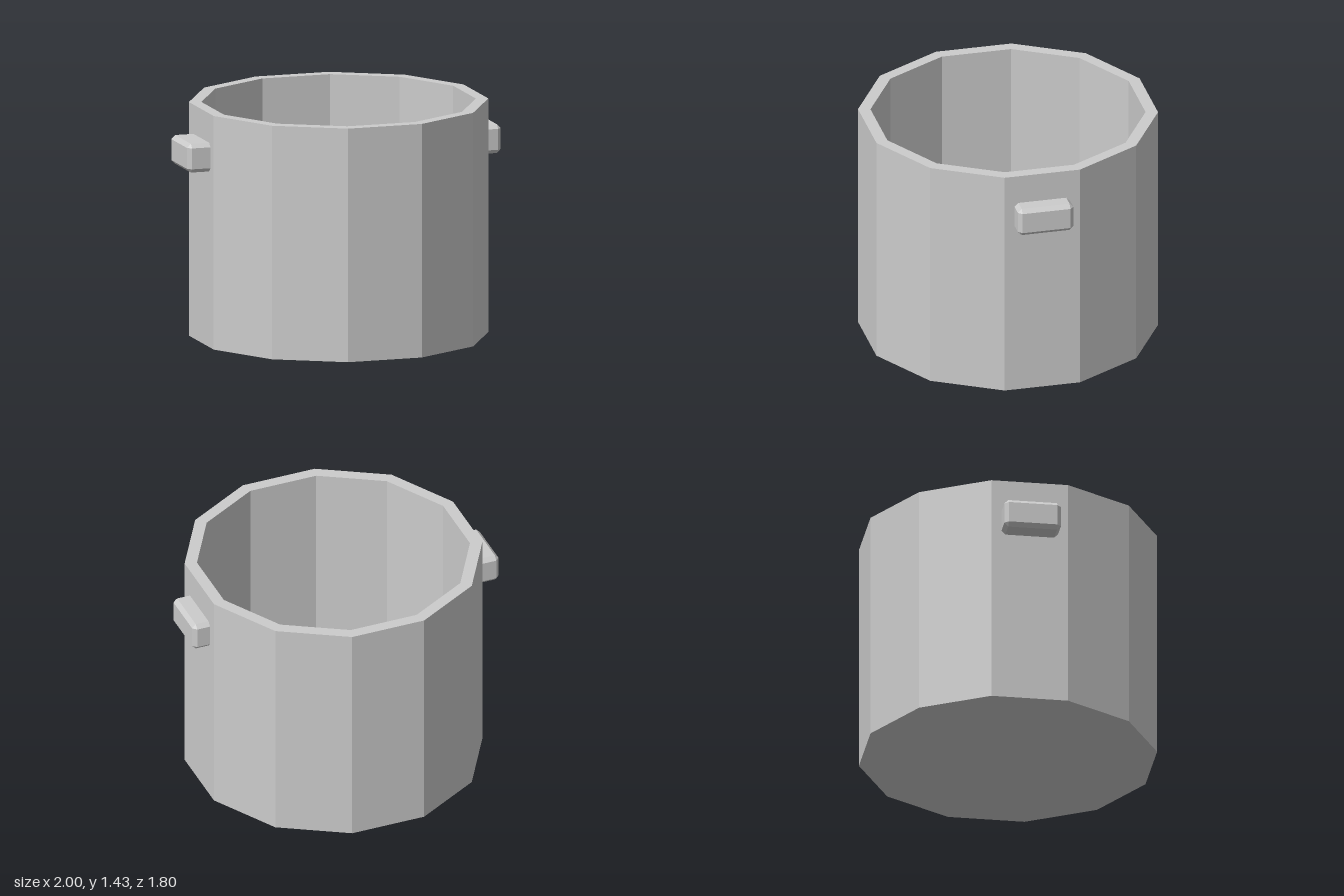
import * as THREE from 'three';
import { ConvexGeometry } from 'three/addons/geometries/ConvexGeometry.js';

const CENTER_X = 0.012;
const TILT = Math.PI / 12; // handles sit on the middle of a wall facet

// Box with every edge chamfered: each corner becomes three points.
function chamferedBox(w, h, d, c) {
  const points = [];
  for (const sx of [-1, 1]) for (const sy of [-1, 1]) for (const sz of [-1, 1]) {
    for (let axis = 0; axis < 3; axis++) {
      const half = [w / 2 - c, h / 2 - c, d / 2 - c];
      half[axis] += c;
      points.push(new THREE.Vector3(sx * half[0], sy * half[1], sz * half[2]));
    }
  }
  return new ConvexGeometry(points);
}

export function createModel() {
  const model = new THREE.Group();
  const material = new THREE.MeshStandardMaterial({ color: 0xcccccc, flatShading: true });

  // Twelve-sided pot with a thick wall and a closed floor
  const profile = [
    [0, 0], [0.902, 0], [0.902, 1.43], [0.827, 1.43], [0.827, 0.075], [0, 0.075],
  ].map(([r, y]) => new THREE.Vector2(r, y));
  const pot = new THREE.Mesh(new THREE.LatheGeometry(profile, 12), material);
  pot.name = 'pot';
  pot.position.x = CENTER_X;
  model.add(pot);

  // Two chamfered block handles on opposite facets, sunk slightly into the wall
  const addHandle = (name, angle, outer) => {
    const inner = 0.835;
    const pivot = new THREE.Group();
    pivot.name = name;
    pivot.position.set(CENTER_X, 1.163, 0);
    pivot.rotation.y = angle;
    const grip = new THREE.Mesh(chamferedBox(outer - inner, 0.176, 0.344, 0.024), material);
    grip.name = name + 'Grip';
    grip.position.x = (outer + inner) / 2;
    pivot.add(grip);
    model.add(pivot);
  };
  addHandle('leftHandle', -TILT, 0.978);
  addHandle('rightHandle', Math.PI - TILT, 1.011);

  return model;
}
